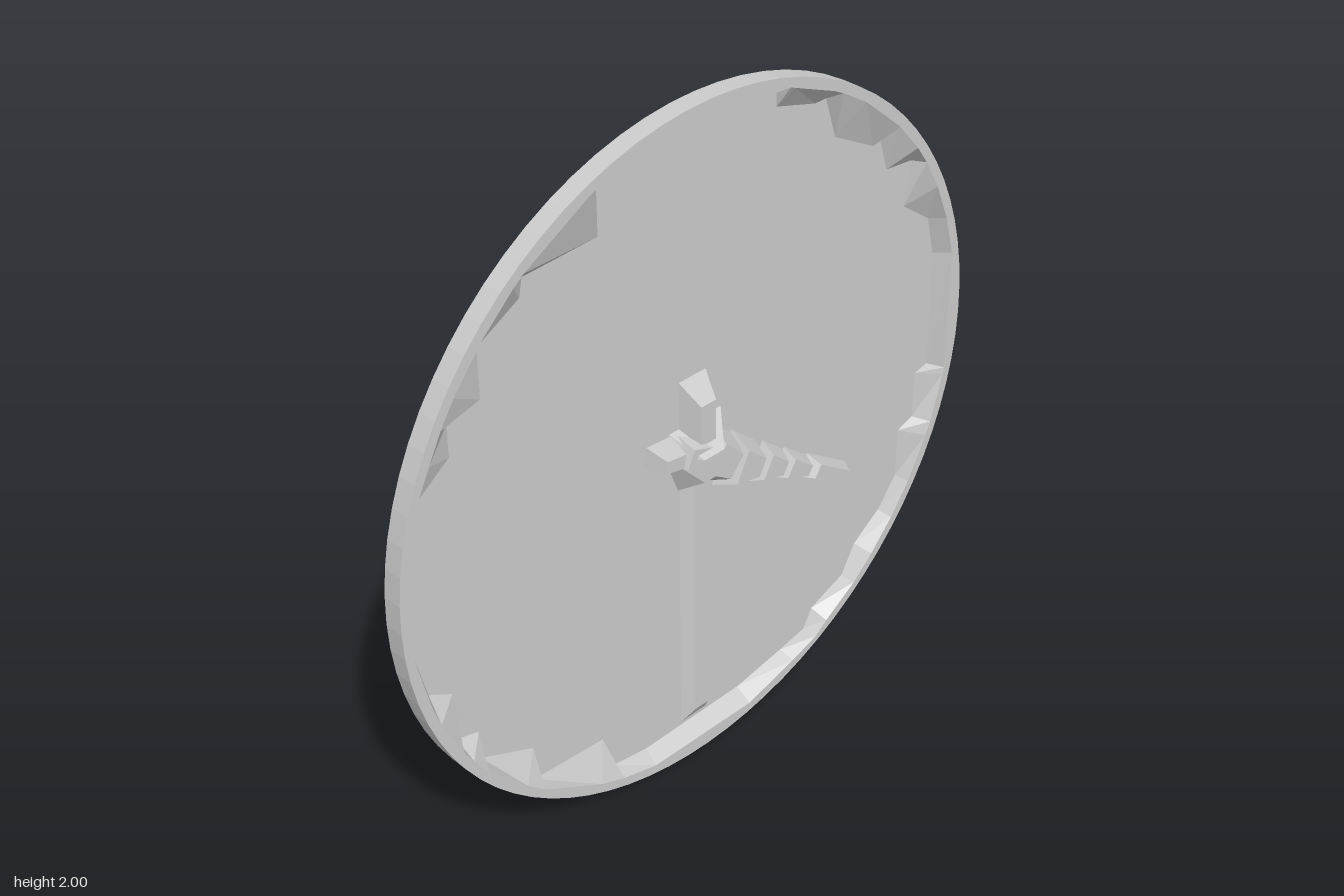
import * as THREE from 'three';
import { ConvexGeometry } from 'three/addons/geometries/ConvexGeometry.js';

const FACE_Z = -0.01, BACK_Z = -0.02, FRONT_Z = 0.035;
const material = new THREE.MeshStandardMaterial({ color: 0xcccccc, flatShading: true, side: THREE.DoubleSide });

// Foot of the chipped inner bevel, clockwise from the top (x, y)
const FOOT = [
  [-0.12, 1.95], [0.27, 1.93], [0.27, 1.87], [0.41, 1.83], [0.45, 1.83], [0.49, 1.71], [0.64, 1.63], [0.66, 1.66],
  [0.7, 1.54], [0.8, 1.53], [0.78, 1.4], [0.89, 1.32], [0.92, 1.2], [0.93, 0.83], [0.88, 0.82],
  [0.88, 0.67], [0.82, 0.65], [0.82, 0.49], [0.75, 0.4], [0.65, 0.33], [0.6, 0.24], [0.47, 0.19],
  [0.44, 0.13], [0.34, 0.11], [0.16, 0.08], [-0.2, 0.08], [-0.32, 0.1], [-0.36, 0.22], [-0.6, 0.24],
  [-0.6, 0.35], [-0.77, 0.43], [-0.77, 0.52], [-0.84, 0.54], [-0.84, 0.69], [-0.91, 0.73], [-0.94, 0.86],
  [-0.965, 0.9], [-0.965, 1.13], [-0.91, 1.34], [-0.79, 1.37], [-0.79, 1.46], [-0.69, 1.48], [-0.69, 1.64],
  [-0.56, 1.69], [-0.55, 1.74], [-0.32, 1.75], [-0.32, 1.9]
];

function add(group, name, geometry) {
  const mesh = new THREE.Mesh(geometry, material);
  mesh.name = name;
  group.add(mesh);
  return mesh;
}

// Faceted block from a base outline at z0 and a top outline at z1
function block(base, z0, top, z1) {
  const points = [];
  base.forEach(([x, y]) => points.push(new THREE.Vector3(x, y, z0)));
  top.forEach(([x, y]) => points.push(new THREE.Vector3(x, y, z1)));
  return new ConvexGeometry(points);
}

const rect = (x0, x1, y0, y1) => [[x0, y0], [x1, y0], [x1, y1], [x0, y1]];

// Four corners across a stretch of hand from a to b with half widths wa and wb
function stretch(a, b, wa, wb) {
  const d = new THREE.Vector2(b[0] - a[0], b[1] - a[1]).normalize();
  return [[a[0] - d.y * wa, a[1] + d.x * wa], [a[0] + d.y * wa, a[1] - d.x * wa],
    [b[0] + d.y * wb, b[1] - d.x * wb], [b[0] - d.y * wb, b[1] + d.x * wb]];
}

export function createModel() {
  const clock = new THREE.Group();
  clock.name = 'wallClock';

  // Dial plate
  const plate = new THREE.CylinderGeometry(0.995, 0.995, FACE_Z - BACK_Z, 40);
  plate.rotateX(Math.PI / 2).translate(0, 1, (FACE_Z + BACK_Z) / 2);
  add(clock, 'dial', plate);

  // Thin outer rim
  const lip = FOOT.map(([x, y]) => {
    const r = Math.hypot(x, y - 1), s = Math.max(0.972, r + 0.006) / r;
    return [x * s, 1 + (y - 1) * s];
  });
  const outline = new THREE.Shape();
  outline.absarc(0, 1, 1, 0, Math.PI * 2);
  outline.holes.push(new THREE.Path(lip.map(([x, y]) => new THREE.Vector2(x, y))));
  const rim = new THREE.ExtrudeGeometry(outline, { depth: FRONT_Z - BACK_Z, bevelEnabled: false, curveSegments: 40 });
  add(clock, 'rim', rim.translate(0, 0, BACK_Z));

  // Chipped bevel between the rim and the dial
  const positions = [];
  FOOT.forEach((foot, i) => {
    const j = (i + 1) % FOOT.length;
    const a = [...foot, FACE_Z], b = [...FOOT[j], FACE_Z];
    const c = [...lip[i], FRONT_Z], d = [...lip[j], FRONT_Z];
    positions.push(...a, ...c, ...b, ...b, ...c, ...d);
  });
  const bevel = new THREE.BufferGeometry();
  bevel.setAttribute('position', new THREE.Float32BufferAttribute(positions, 3));
  bevel.computeVertexNormals();
  add(clock, 'innerBevel', bevel);

  // Minute hand, pointing down, with its short tail above the hub
  add(clock, 'minuteHand', block(rect(-0.065, 0.03, 0.09, 0.95), FACE_Z, rect(-0.037, 0.012, 0.14, 0.95), 0.02));
  add(clock, 'minuteHandTail', block(rect(-0.065, 0.03, 1.02, 1.23), FACE_Z, rect(-0.04, 0.012, 1.02, 1.17), 0.045));

  // Hour hand, a chain of faceted lumps
  const hourHand = new THREE.Group();
  hourHand.name = 'hourHand';
  const path = [[-0.185, 1.06, 0.03], [-0.1, 1.045, 0.045], [0, 1, 0.075], [0.09, 0.925, 0.08],
    [0.19, 0.875, 0.06], [0.28, 0.825, 0.045], [0.38, 0.765, 0.035], [0.545, 0.665, 0.03]];
  for (let i = 0; i < path.length - 1; i++) {
    const a = path[i], b = path[i + 1];
    const mix = t => [a[0] + (b[0] - a[0]) * t, a[1] + (b[1] - a[1]) * t];
    const base = stretch(a, b, a[2], b[2] * 0.85);
    const top = stretch(mix(0.12), mix(0.88), a[2] * 0.6, b[2] * 0.45);
    const z0 = i < 4 ? FACE_Z : 0.015;
    add(hourHand, 'hourHandLump', block(base, z0, top, 0.058));
  }
  clock.add(hourHand);

  // Front hub
  const hubBase = [[-0.12, 1.03], [-0.07, 0.9], [0.03, 0.9], [0.09, 0.97], [0.085, 1.09], [-0.1, 1.09]];
  add(clock, 'hub', block(hubBase, FACE_Z, rect(-0.055, 0.015, 0.96, 1.03), 0.073));

  // Rear spindle boss with a slanted lower fin
  add(clock, 'rearBoss', block(rect(-0.08, 0.06, 0.96, 1.09), BACK_Z, rect(-0.05, 0.035, 0.99, 1.04), -0.077));
  add(clock, 'rearFin', block([[-0.05, 1.04], [0.0, 0.85], [0.11, 0.87], [0.12, 0.95]], BACK_Z,
    [[-0.03, 1.03], [-0.02, 0.98], [0.03, 0.98]], -0.072));

  return clock;
}
